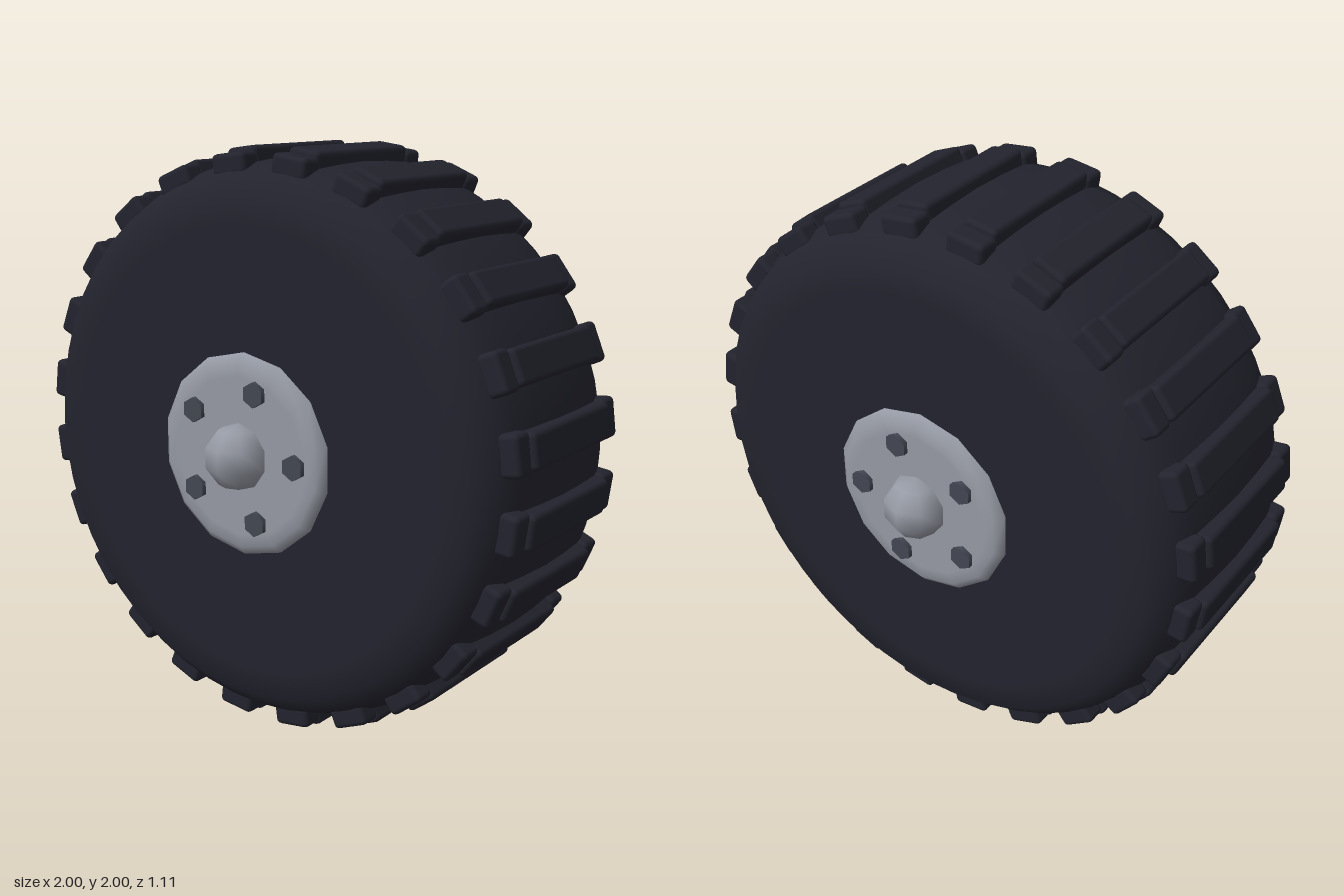
import * as THREE from 'three';
import { RoundedBoxGeometry } from 'three/addons/geometries/RoundedBoxGeometry.js';

function material(name, color) {
  const m = new THREE.MeshStandardMaterial({ color });
  m.name = name;
  return m;
}

// Lathe whose axis lies along z; points are [radius, z] with z rising
function turned(points, sides) {
  const profile = points.map(([r, z]) => new THREE.Vector2(r, z));
  return new THREE.LatheGeometry(profile, sides).rotateX(Math.PI / 2);
}

function addMesh(parent, name, geometry, mat, x = 0, y = 0, z = 0) {
  const mesh = new THREE.Mesh(geometry, mat);
  mesh.name = name;
  mesh.position.set(x, y, z);
  parent.add(mesh);
  return mesh;
}

export function createModel() {
  const rubber = material('dark rubber', 0x23232e);
  const steel = material('light steel', 0x969aa4);
  const boltSteel = material('dark bolt steel', 0x434752);

  const model = new THREE.Group();
  model.name = 'wheel';
  const wheel = new THREE.Group();
  wheel.name = 'wheelAssembly';
  wheel.position.y = 1;
  model.add(wheel);

  // Tyre body: flat walls, chamfered shoulders, slightly crowned tread
  const half = [[0, 0.41], [0.76, 0.41], [0.855, 0.41], [0.92, 0.345], [0.95, 0.27], [0.96, 0.14]];
  const tyreProfile = [
    ...half.map(([r, z]) => [r, -z]),
    [0.965, 0],
    ...half.slice().reverse(),
  ];
  addMesh(wheel, 'tyre', turned(tyreProfile, 48), rubber);

  // Tread: a long bar with a lower, wider block at each end
  const barGeometry = new RoundedBoxGeometry(0.122, 0.09, 0.52, 2, 0.018);
  const blockGeometry = new RoundedBoxGeometry(0.138, 0.075, 0.085, 2, 0.018);
  const lugCount = 24;
  for (let i = 0; i < lugCount; i++) {
    const lug = new THREE.Group();
    lug.name = 'treadLug';
    lug.rotation.z = ((i + 0.5) / lugCount) * Math.PI * 2;
    addMesh(lug, 'treadBar', barGeometry, rubber, 0, 0.957, 0);
    for (const side of [-1, 1]) {
      addMesh(lug, 'treadEndBlock', blockGeometry, rubber, 0, 0.947, side * 0.293);
    }
    wheel.add(lug);
  }

  // Hub: bevelled plate, domed cap and five hex bolts on each face
  const plateGeometry = turned([[0.345, 0.38], [0.345, 0.418], [0.315, 0.442], [0.27, 0.442], [0, 0.442]], 14);
  const capGeometry = new THREE.SphereGeometry(0.114, 8, 5);
  const boltGeometry = new THREE.CylinderGeometry(0.043, 0.043, 0.04, 6).rotateX(Math.PI / 2);
  for (const front of [true, false]) {
    const hub = new THREE.Group();
    hub.name = front ? 'frontHub' : 'backHub';
    hub.rotation.x = front ? 0 : Math.PI;
    addMesh(hub, 'hubPlate', plateGeometry, steel);
    addMesh(hub, 'hubCap', capGeometry, steel, 0, 0, 0.447);
    for (let i = 0; i < 5; i++) {
      const a = (i / 5) * Math.PI * 2;
      addMesh(hub, 'hubBolt', boltGeometry, boltSteel, 0.23 * Math.cos(a), 0.23 * Math.sin(a), 0.439);
    }
    wheel.add(hub);
  }

  return model;
}
